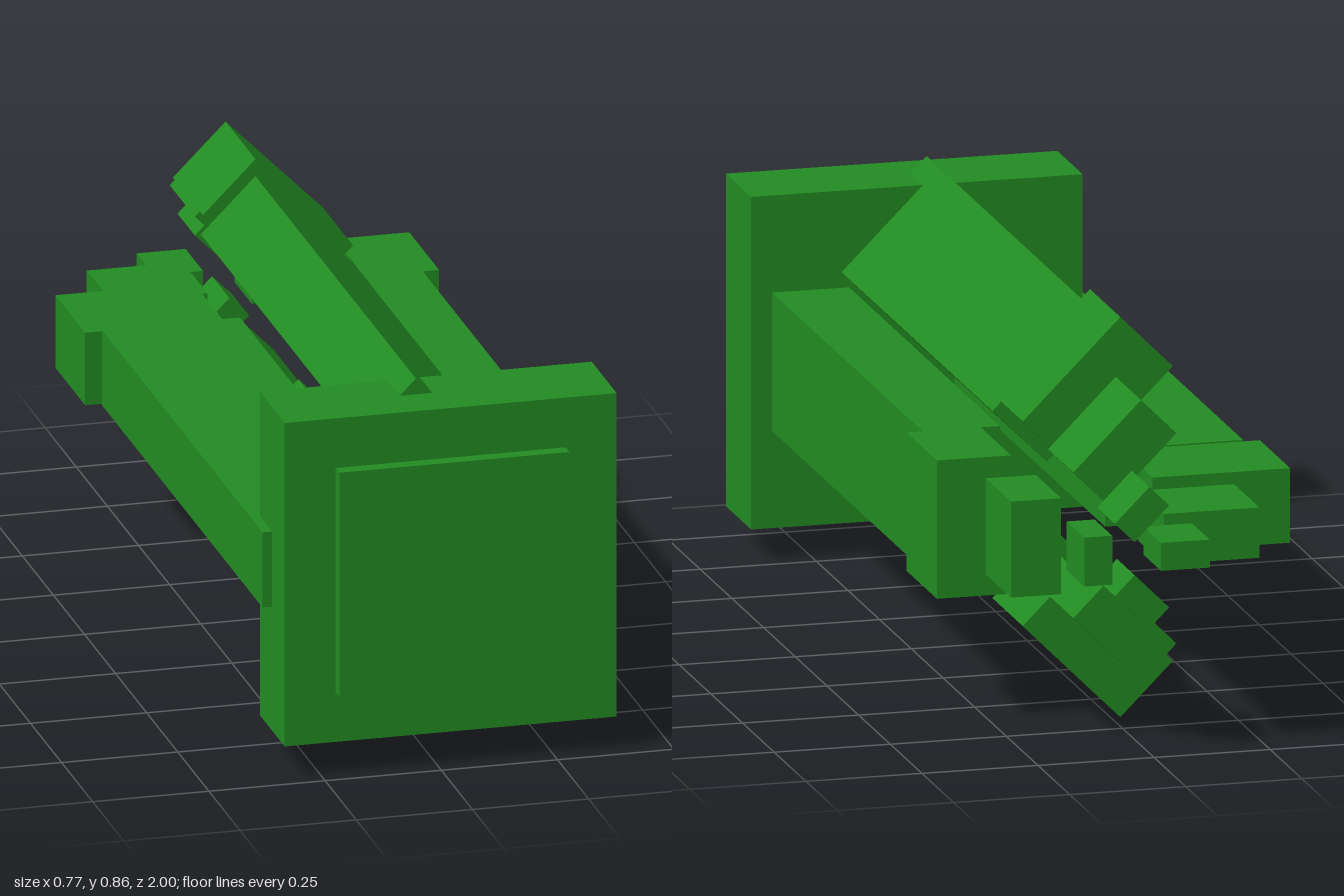
import * as THREE from 'three';

const MID = 0.4325; // height of the long axis

// Each row is one stepped segment shared by the four prongs:
// z range, broad width, thickness, outer x of left/right prongs,
// apex x and apex distance from the axis for the diagonal prongs
const SEGMENTS = [
  { name: 'Shaft', z0: -0.42, z1: 0.87, w: 0.297, t: 0.166, left: -0.35, right: 0.34, ax: -0.02, rise: 0.392 },
  { name: 'Collar', z0: -0.66, z1: -0.42, w: 0.297, t: 0.16, left: -0.386, right: 0.375, ax: -0.02, rise: 0.4295 },
  { name: 'Step', z0: -0.86, z1: -0.66, w: 0.206, t: 0.108, left: -0.265, right: 0.27, ax: -0.01, rise: 0.302 },
  { name: 'Tip', z0: -1.0, z1: -0.86, w: 0.105, t: 0.06, left: -0.12, right: 0.15, ax: 0.01, rise: 0.152 },
];

export function createModel() {
  const model = new THREE.Group();
  model.name = 'prongedPlug';
  const green = new THREE.MeshStandardMaterial({ color: 0x228b22 });
  green.name = 'forest green';

  const box = (parent, name, w, h, z0, z1, x, y, roll = 0) => {
    const mesh = new THREE.Mesh(new THREE.BoxGeometry(w, h, z1 - z0), green);
    mesh.name = name;
    mesh.position.set(x, y, (z0 + z1) / 2);
    mesh.rotation.z = roll;
    parent.add(mesh);
  };

  // Square head with a raised front panel
  box(model, 'headPlate', 0.714, 0.714, 0.77, 0.97, 0.028, MID);
  box(model, 'frontPanel', 0.495, 0.495, 0.96, 1.0, 0.028, MID);

  // Four prongs around the axis, two upright and two diagonal
  const prongs = {};
  for (const name of ['rightProng', 'leftProng', 'upperProng', 'lowerProng']) {
    prongs[name] = new THREE.Group();
    prongs[name].name = name;
    model.add(prongs[name]);
  }
  for (const s of SEGMENTS) {
    box(prongs.rightProng, 'rightProng' + s.name, s.w, s.t, s.z0, s.z1, s.left + s.w / 2, MID);
    box(prongs.leftProng, 'leftProng' + s.name, s.t, s.w, s.z0, s.z1, s.right - s.t / 2, MID);
    const x = s.ax + (s.w - s.t) / 2 * Math.SQRT1_2;
    const dy = s.rise - (s.w + s.t) / 2 * Math.SQRT1_2;
    for (const [name, side] of [['upperProng', 1], ['lowerProng', -1]]) {
      box(prongs[name], name + s.name, s.w, s.t, s.z0, s.z1, x, MID + side * dy, -side * Math.PI / 4);
    }
  }
  return model;
}
